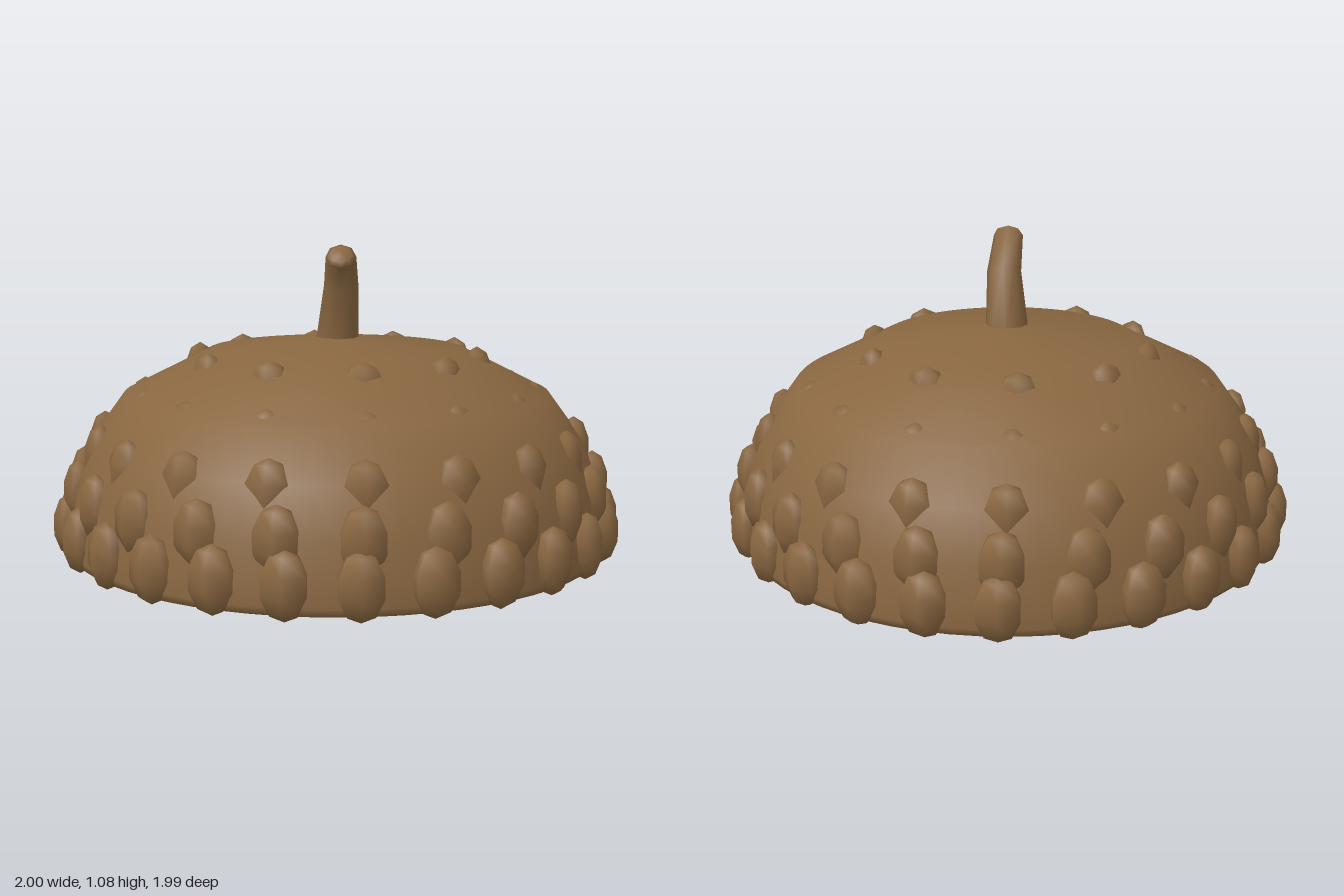
import * as THREE from 'three';

// Stem: rings of [centre, direction, radius], closed at the tip
function stemGeometry(rings, sides) {
  const pos = [], index = [];
  const up = new THREE.Vector3(0, 1, 0);
  for (const [c, d, r] of rings) {
    const q = new THREE.Quaternion().setFromUnitVectors(up, new THREE.Vector3(...d).normalize());
    for (let i = 0; i < sides; i++) {
      const a = (i / sides) * Math.PI * 2;
      const v = new THREE.Vector3(Math.cos(a) * r, 0, Math.sin(a) * r).applyQuaternion(q);
      pos.push(v.x + c[0], v.y + c[1], v.z + c[2]);
    }
  }
  for (let j = 0; j < rings.length - 1; j++) {
    for (let i = 0; i < sides; i++) {
      const a = j * sides + i, b = j * sides + ((i + 1) % sides);
      index.push(a, a + sides, b, b, a + sides, b + sides);
    }
  }
  const g = new THREE.BufferGeometry();
  g.setAttribute('position', new THREE.Float32BufferAttribute(pos, 3));
  g.setIndex(index);
  g.computeVertexNormals();
  return g;
}

export function createModel() {
  const model = new THREE.Group();
  model.name = 'acornCap';
  const brown = new THREE.MeshStandardMaterial({ color: 0x886640 });
  brown.name = 'acornBrown';

  // Hollow cup: inner surface, round the rim, then up the outside
  const profile = [
    [0, 0.705], [0.42, 0.66], [0.70, 0.525], [0.82, 0.385], [0.875, 0.235], [0.895, 0.1],
    [0.90, 0.035], [0.92, 0.02], [0.945, 0.025], [0.952, 0.05],
    [0.945, 0.12], [0.925, 0.25], [0.87, 0.40], [0.75, 0.565], [0.45, 0.715], [0, 0.765],
  ].map(([r, y]) => new THREE.Vector2(r, y));
  const cup = new THREE.Mesh(new THREE.LatheGeometry(profile, 64), brown);
  cup.name = 'cup';
  model.add(cup);

  // Rows of upright scales set through the wall, fewer towards the top
  const scaleGeo = new THREE.SphereGeometry(1, 6, 5);
  scaleGeo.scale(0.058, 0.112, 0.083);
  const rows = [[26, 0.945], [22, 0.908], [18, 0.838], [14, 0.692], [10, 0.495]];
  rows.forEach(([count, radius], row) => {
    const ring = new THREE.Group();
    ring.name = 'scaleRow' + (row + 1);
    for (let i = 0; i < count; i++) {
      const a = ((i + (row % 2) * 0.5) / count) * Math.PI * 2;
      const scale = new THREE.Mesh(scaleGeo, brown);
      scale.name = 'scale';
      scale.position.set(Math.cos(a) * radius, 0.118 + row * 0.1245, Math.sin(a) * radius);
      scale.rotation.y = -a;
      ring.add(scale);
    }
    model.add(ring);
  });

  // Bent stem leaning to the front left
  const tipDir = [0.09, 0.11, 0.09];
  const stem = new THREE.Mesh(stemGeometry([
    [[0.01, 0.72, 0.008], [0.1, 1, 0.06], 0.077],
    [[0.042, 0.942, 0.02], [0.3, 1, 0.28], 0.06],
    [[0.132, 1.046, 0.115], tipDir, 0.052],
    [[0.139, 1.055, 0.122], tipDir, 0.036],
    [[0.141, 1.058, 0.124], tipDir, 0],
  ], 8), brown);
  stem.name = 'stem';
  model.add(stem);

  return model;
}
